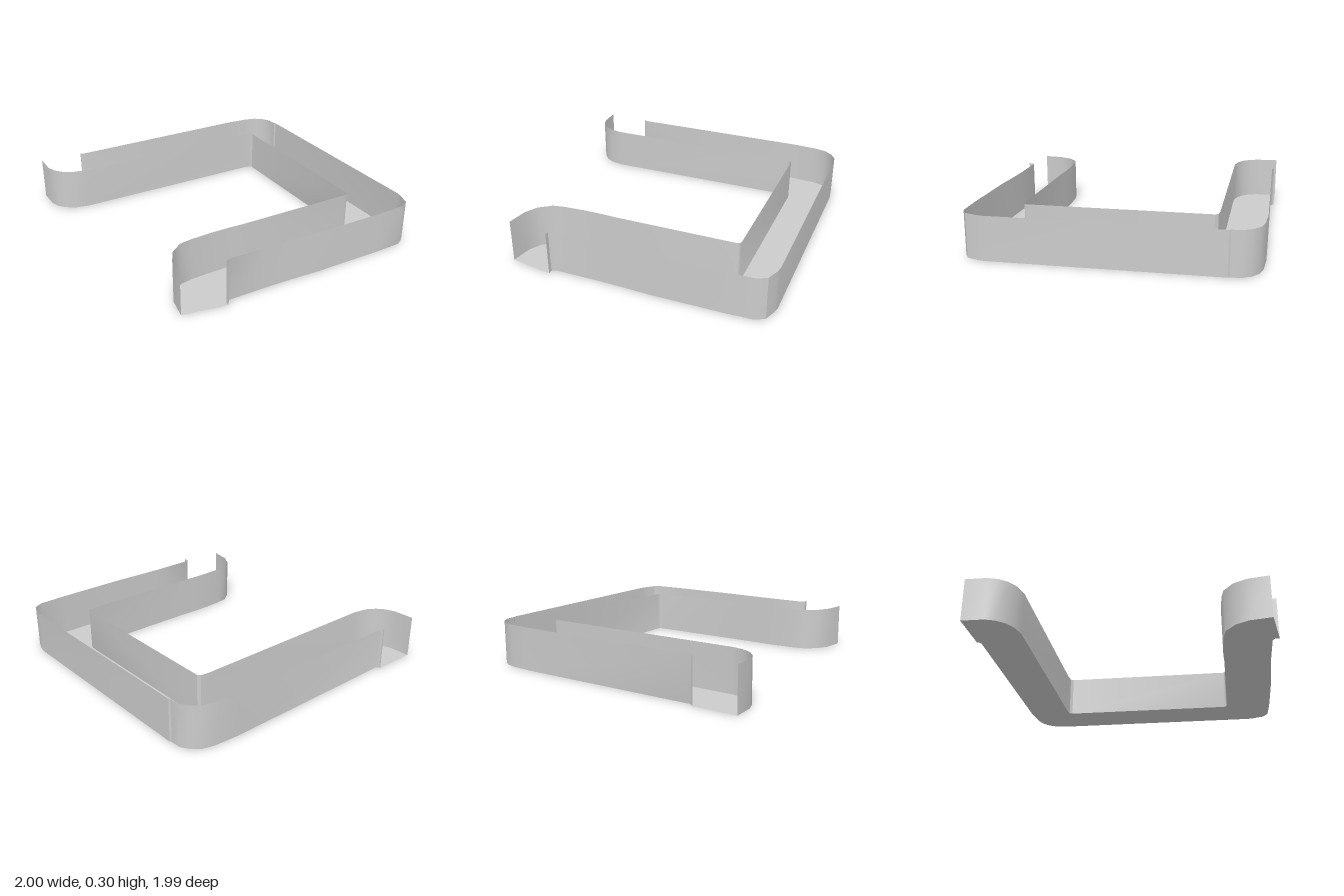
import * as THREE from 'three';
import { toCreasedNormals } from 'three/addons/utils/BufferGeometryUtils.js';

const HEIGHT = 0.3;

// Plan paths as [x, z], both running from the back arm's end to the front arm's end
const OUTER = [
  [-0.69, -0.995], [-0.69, -0.985], [-0.665, -0.97], [0.65, -0.97], [0.82, -0.957],
  [0.9, -0.935], [0.955, -0.89], [0.99, -0.83], [0.992, -0.76], [1, -0.75], [1, 0.79],
  [0.99, 0.84], [0.96, 0.92], [0.9, 0.955], [0.7, 0.962], [0.2, 0.96], [0, 0.95],
  [-0.2, 0.945], [-0.48, 0.945], [-0.502, 0.96], [-0.502, 0.99],
];
const INNER = [
  [-1, -1], [-0.997, -0.85], [-0.975, -0.785], [-0.93, -0.73], [-0.865, -0.69],
  [-0.77, -0.67], [0.62, -0.667], [0.68, -0.66], [0.695, -0.64], [0.695, 0.605],
  [0.685, 0.62], [0.66, 0.627], [-0.18, 0.623], [-0.29, 0.618], [-0.42, 0.618],
  [-0.565, 0.626], [-0.65, 0.64], [-0.735, 0.705], [-0.78, 0.79], [-0.805, 0.938],
];

// Thin upright strip standing along a plan path
function wall(path) {
  const positions = [];
  const index = [];
  path.forEach(([x, z], i) => {
    positions.push(x, 0, z, x, HEIGHT, z);
    if (i > 0) {
      const a = 2 * (i - 1);
      index.push(a, a + 1, a + 2, a + 2, a + 1, a + 3);
    }
  });
  const geometry = new THREE.BufferGeometry();
  geometry.setAttribute('position', new THREE.Float32BufferAttribute(positions, 3));
  geometry.setIndex(index);
  return toCreasedNormals(geometry, Math.PI / 5);
}

export function createModel() {
  const group = new THREE.Group();
  group.name = 'openChannel';
  const material = new THREE.MeshStandardMaterial({ color: 0xcccccc, side: THREE.DoubleSide });

  const add = (name, geometry) => {
    const mesh = new THREE.Mesh(geometry, material);
    mesh.name = name;
    group.add(mesh);
  };

  // Floor between the two walls; the arm ends and the top stay open
  const outline = [...OUTER, ...[...INNER].reverse()];
  const shape = new THREE.Shape(outline.map(([x, z]) => new THREE.Vector2(x, -z)));
  add('floor', new THREE.ShapeGeometry(shape).rotateX(-Math.PI / 2));

  // Walls, each facing away from the channel
  add('outerWall', wall(OUTER));
  add('innerWall', wall([...INNER].reverse()));

  return group;
}
